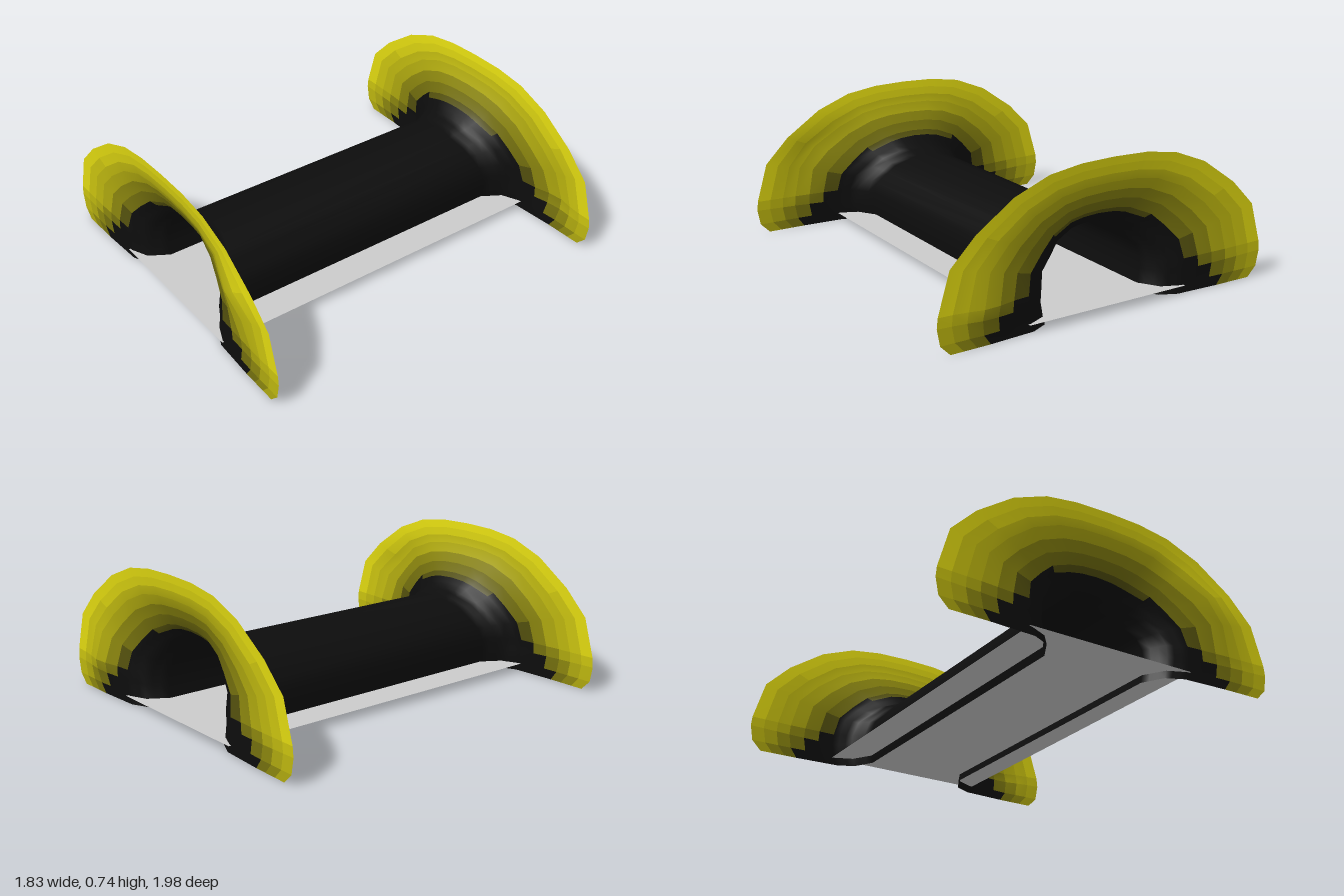
import * as THREE from 'three';

// Half arches from the ground to the crown: tunnel section and flared rim
const INNER = [[0.27, 0], [0.28, 0.05], [0.29, 0.11], [0.287, 0.17], [0.275, 0.23],
  [0.22, 0.285], [0.185, 0.325], [0.1, 0.36], [0.06, 0.37], [0, 0.375]];
const OUTER = [[0.85, 0], [0.9, 0.05], [0.915, 0.13], [0.91, 0.18], [0.85, 0.38],
  [0.72, 0.51], [0.53, 0.64], [0.35, 0.71], [0.18, 0.735], [0, 0.74]];

// Flare profiles [spread, z], at the crown and at the sides
const CROWN = [[0, 0.71], [0.07, 0.8], [0.27, 0.87], [0.67, 0.94], [1, 0.955]];
const SIDE = [[0, 0.8], [0.1, 0.9], [0.25, 0.94], [0.65, 0.952], [1, 0.955]];

const STEPS = 3;                        // rows between two profile points
const ROWS = (CROWN.length - 1) * STEPS;
const HALF = INNER.length - 1;
const COLS = HALF * 2;
const SHADES = 10;
const { lerp, clamp } = THREE.MathUtils;

// Mirrors a half arch: column 0 is the left foot, the last is the right foot
function archPoint(half, col) {
  const i = HALF - Math.abs(col - HALF);
  return [half[i][0] * (col <= HALF ? 1 : -1), half[i][1]];
}

// Interpolates a flare profile at a row
function profileAt(profile, row) {
  const k = Math.min(Math.floor(row / STEPS), profile.length - 2);
  const f = row / STEPS - k;
  return [0, 1].map(n => lerp(profile[k][n], profile[k + 1][n], f));
}

// Point on the sheet; end is +1 for the front and -1 for the back
function sheetPoint(col, row, end) {
  const i = HALF - Math.abs(col - HALF);
  const w = clamp((i - 3) / 4, 0, 1);
  const a = profileAt(SIDE, row), b = profileAt(CROWN, row);
  const t = lerp(a[0], b[0], w);
  const p = archPoint(INNER, col), q = archPoint(OUTER, col);
  const x = lerp(p[0], q[0], t), y = lerp(p[1], q[1], t);
  let z = lerp(a[1], b[1], w) + (end < 0 ? 0.015 : 0);
  // one soft dent bulges out of each flare
  const [bx, by, size] = end > 0 ? [0.57, 0.39, 0.047] : [0.66, 0.2, 0.03];
  z += size * Math.exp(-((x - bx) ** 2 + (y - by) ** 2) / 0.012);
  return { pos: [x, y, Math.min(z, 1) * end], t, i };
}

function createShell() {
  const group = new THREE.Group();
  group.name = 'tunnelShell';
  const positions = [], spread = [], height = [];
  const rows = (ROWS + 1) * 2;
  for (let r = 0; r < rows; r++) {
    const end = r <= ROWS ? -1 : 1;
    const row = end < 0 ? ROWS - r : r - ROWS - 1;
    for (let c = 0; c <= COLS; c++) {
      const s = sheetPoint(c, row, end);
      positions.push(...s.pos);
      spread.push(s.t);
      height.push(s.i);
    }
  }

  // Sort the quads into shades, black tunnel to yellow rim
  const all = [], byShade = Array.from({ length: SHADES }, () => []);
  for (let r = 0; r < rows - 1; r++) {
    for (let c = 0; c < COLS; c++) {
      const a = r * (COLS + 1) + c, b = a + 1, d = a + COLS + 1, e = d + 1;
      const quad = [a, b, d, b, e, d];
      const mean = list => (list[a] + list[b] + list[d] + list[e]) / 4;
      const low = clamp((3.5 - mean(height)) / 3, 0, 1);
      const start = lerp(0.15, 0.55, low);
      const shade = clamp((mean(spread) - start) / (1 - start), 0, 1) * lerp(1, 0.6, low);
      all.push(...quad);
      byShade[Math.min(SHADES - 1, Math.floor(shade * SHADES))].push(...quad);
    }
  }

  const base = new THREE.BufferGeometry();
  base.setAttribute('position', new THREE.Float32BufferAttribute(positions, 3));
  base.setIndex(all);
  base.computeVertexNormals();          // shared, so the bands join smoothly

  byShade.forEach((index, n) => {
    if (!index.length) return;
    const geometry = base.clone();
    geometry.setIndex(index);
    const color = new THREE.Color(0x0d0d0d).lerp(new THREE.Color(0xe0d810), n / (SHADES - 1));
    const mesh = new THREE.Mesh(geometry,
      new THREE.MeshStandardMaterial({ color, side: THREE.DoubleSide }));
    mesh.name = n === 0 ? 'tunnel' : `flareBand${n}`;
    group.add(mesh);
  });
  return group;
}

export function createModel() {
  const model = new THREE.Group();
  model.name = 'flaredTunnel';
  model.add(createShell());

  // Flat floor sheet, slightly above the feet of the shell
  const floor = new THREE.Mesh(
    new THREE.PlaneGeometry(0.89, 1.92).rotateX(-Math.PI / 2),
    new THREE.MeshStandardMaterial({ color: 0xcccccc, side: THREE.DoubleSide }));
  floor.name = 'floor';
  floor.position.set(0, 0.04, -0.01);
  model.add(floor);
  return model;
}
